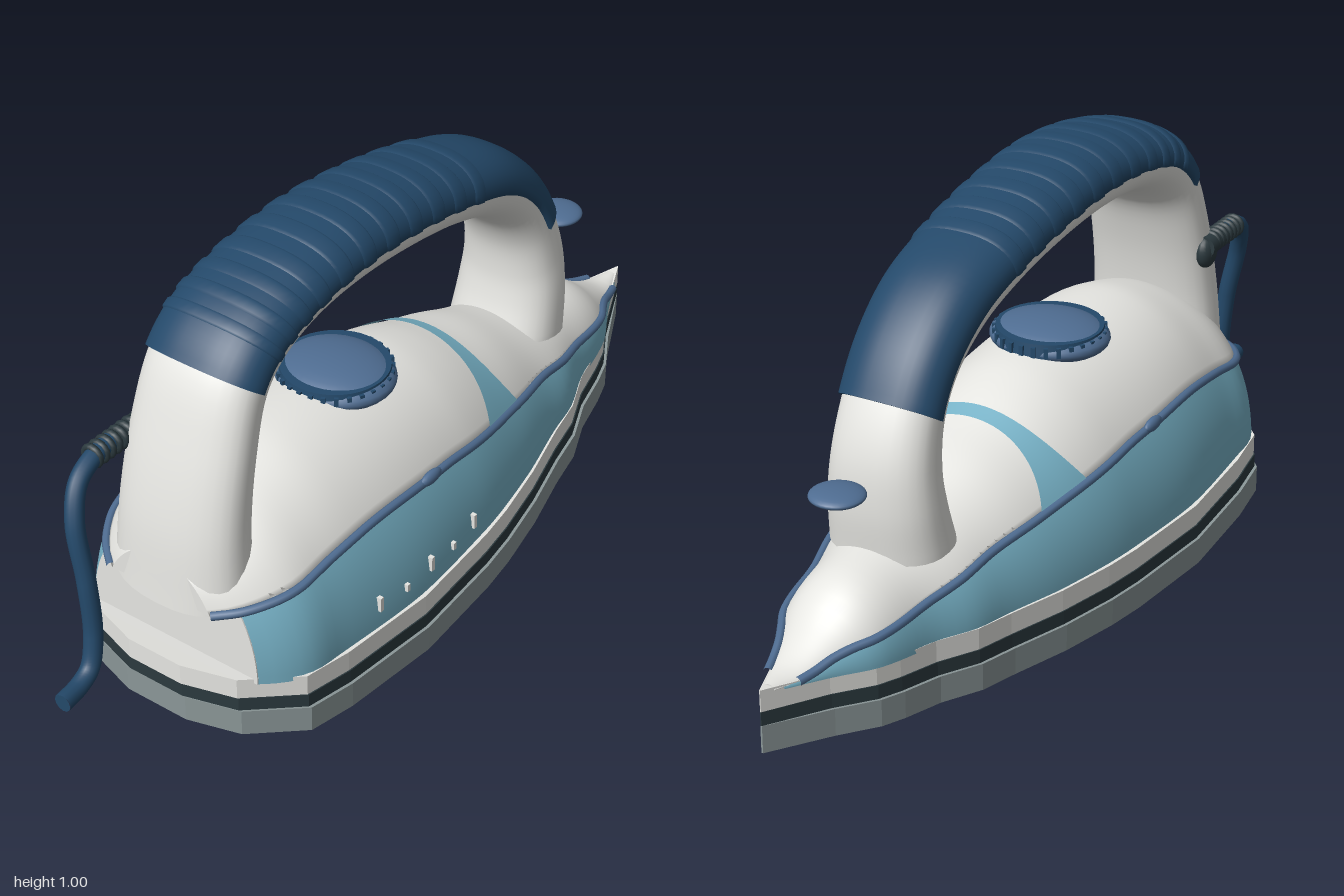
import * as THREE from 'three';

const mat = (name, color, side = THREE.FrontSide) => {
  const m = new THREE.MeshStandardMaterial({ color, side });
  m.name = name;
  return m;
};

// Smooth curve y(x) through a few points
function curve(pts) {
  const slope = (i) => {
    const a = pts[Math.max(i - 1, 0)], b = pts[Math.min(i + 1, pts.length - 1)];
    return (b[1] - a[1]) / (b[0] - a[0]);
  };
  return (x) => {
    let i = 0;
    while (i < pts.length - 2 && x > pts[i + 1][0]) i++;
    const [x0, y0] = pts[i], [x1, y1] = pts[i + 1], h = x1 - x0;
    const t = Math.min(Math.max((x - x0) / h, 0), 1), t2 = t * t, t3 = t2 * t;
    return (2 * t3 - 3 * t2 + 1) * y0 + (t3 - 2 * t2 + t) * h * slope(i)
      + (3 * t2 - 2 * t3) * y1 + (t3 - t2) * h * slope(i + 1);
  };
}

// Skin over a row of cross-sections, optionally closed round and capped
function loft(rings, { closed = false, caps = false, flat = false } = {}) {
  const n = rings[0].length, pos = rings.flat(2), idx = [];
  for (let i = 0; i < rings.length - 1; i++) {
    for (let j = 0; j < (closed ? n : n - 1); j++) {
      const k = (j + 1) % n, a = i * n + j, b = a + n, c = i * n + k, d = c + n;
      idx.push(a, b, c, b, d, c);
    }
  }
  if (caps) {
    const s = pos.length / 3, e = s + n;
    pos.push(...rings[0].flat(), ...rings[rings.length - 1].flat());
    for (let j = 1; j < n - 1; j++) idx.push(s, s + j, s + j + 1, e, e + j + 1, e + j);
  }
  let g = new THREE.BufferGeometry();
  g.setAttribute('position', new THREE.Float32BufferAttribute(pos, 3));
  g.setIndex(idx);
  if (flat) g = g.toNonIndexed();
  g.computeVertexNormals();
  return g;
}

const steps = (a, b, n) => Array.from({ length: n + 1 }, (_, i) => a + (b - a) * i / n);

// Half width of the plate, its rise towards both ends, body ridge and trim height
const OUTLINE = [[-0.77, 0.08], [-0.73, 0.2], [-0.62, 0.3], [-0.5, 0.317], [-0.25, 0.335], [0, 0.317], [0.1, 0.303],
  [0.25, 0.272], [0.4, 0.232], [0.5, 0.212], [0.6, 0.17], [0.7, 0.147], [0.76, 0.128], [0.85, 0.075], [1, 0.002]];
const width = curve(OUTLINE);
const rise = curve([[-0.77, 0.03], [-0.6, 0.01], [-0.4, 0], [0, 0], [0.3, 0.005], [0.5, 0.017], [0.75, 0.04], [1, 0.068]]);
const ridge = curve([[-0.74, 0.43], [-0.6, 0.51], [-0.5, 0.545], [-0.4, 0.565], [-0.2, 0.562], [0, 0.545], [0.1, 0.52],
  [0.2, 0.482], [0.3, 0.45], [0.4, 0.41], [0.5, 0.378], [0.6, 0.36], [0.7, 0.342], [0.75, 0.318], [0.8, 0.28], [0.9, 0.228], [0.97, 0.222]]);
const trimY = curve([[-0.74, 0.33], [-0.6, 0.355], [-0.35, 0.388], [-0.1, 0.377], [0, 0.365], [0.2, 0.335], [0.4, 0.303],
  [0.6, 0.265], [0.8, 0.24], [0.9, 0.214], [0.97, 0.212]]);

// Point on the domed body at station x and angle a (0 = left base, PI = right base)
const baseY = (x) => 0.145 + rise(x);
const bodyPoint = (x, a, grow = 0) => [x,
  baseY(x) + (ridge(x) - baseY(x) + grow) * Math.sin(a),
  (width(x) * 0.94 + grow) * Math.cos(a)];
const trimAngle = (x) => Math.asin(Math.min(Math.max((trimY(x) - baseY(x)) / (ridge(x) - baseY(x)), 0.05), 0.85));

// Handle: outer edge, inner edge and half depth, from rear foot to front foot
const HANDLE = [
  [-0.755, 0.31, -0.57, 0.37, 0.165], [-0.735, 0.5, -0.565, 0.5, 0.155], [-0.69, 0.68, -0.54, 0.64, 0.148],
  [-0.625, 0.84, -0.5, 0.745, 0.14], [-0.54, 0.92, -0.45, 0.79, 0.137], [-0.4, 0.965, -0.36, 0.825, 0.134],
  [-0.2, 0.99, -0.2, 0.835, 0.13], [0, 0.975, -0.01, 0.82, 0.126], [0.2, 0.935, 0.17, 0.785, 0.122],
  [0.37, 0.88, 0.3, 0.735, 0.117], [0.49, 0.785, 0.39, 0.67, 0.113], [0.565, 0.675, 0.435, 0.59, 0.113],
  [0.61, 0.56, 0.445, 0.5, 0.12], [0.62, 0.45, 0.435, 0.43, 0.13], [0.61, 0.33, 0.41, 0.35, 0.138]];
const outer = new THREE.CatmullRomCurve3(HANDLE.map((h) => new THREE.Vector3(h[0], h[1], h[4])));
const inner = new THREE.CatmullRomCurve3(HANDLE.map((h) => new THREE.Vector3(h[2], h[3], 0)));
function handleRing(t, angles, grow = 0) {
  const o = outer.getPoint(t), i = inner.getPoint(t);
  const dx = (o.x - i.x) / 2, dy = (o.y - i.y) / 2, s = 1 + grow / Math.hypot(dx, dy);
  const soft = (v) => Math.sign(v) * Math.abs(v) ** 0.85;
  return angles.map((a) => [
    (o.x + i.x) / 2 + dx * s * soft(Math.sin(a)),
    (o.y + i.y) / 2 + dy * s * soft(Math.sin(a)),
    (o.z + grow) * soft(Math.cos(a))]);
}

export function createModel() {
  const group = new THREE.Group();
  const white = mat('white plastic', 0xe6e6e2, THREE.DoubleSide);
  const teal = mat('teal plastic', 0x78b3c8, THREE.DoubleSide);
  const navy = mat('navy grip', 0x24496a);
  const steel = mat('steel blue', 0x4f6d92);
  const charcoal = mat('charcoal', 0x2c3a3f);
  const grey = mat('sole grey', 0x8b9798);
  const add = (name, geometry, material, x = 0, y = 0, z = 0) => {
    const m = new THREE.Mesh(geometry, material);
    m.name = name;
    m.position.set(x, y, z);
    group.add(m);
    return m;
  };

  // Stacked plates following the pointed outline
  const plate = (name, y0, y1, inset, material) => add(name, loft(OUTLINE.map(([x, w]) => {
    const c = rise(x), z = Math.max(w - inset, 0.001);
    return [[x, y0 + c, z], [x, y1 + c, z], [x, y1 + c, -z], [x, y0 + c, -z]];
  }), { closed: true, caps: true, flat: true }), material);
  plate('soleplate', 0.01, 0.073, 0, grey);
  plate('heatBand', 0.073, 0.105, 0.007, charcoal);
  plate('baseSkirt', 0.105, 0.155, 0.01, white);

  // Steam holes beneath the soleplate
  const hole = new THREE.SphereGeometry(1, 12, 8).scale(0.028, 0.009, 0.012);
  for (const x of steps(-0.56, 0.68, 12)) {
    for (const s of [1, -1]) add('steamHole', hole, charcoal, x, 0.01 + rise(x), s * (width(x) - 0.06));
  }

  // Water tank sides and white upper shell
  const lowerX = steps(-0.7, 0.95, 66);
  add('tankLeft', loft(lowerX.map((x) => steps(0, trimAngle(x), 10).map((a) => bodyPoint(x, a)))), teal);
  add('tankRight', loft(lowerX.map((x) => steps(Math.PI - trimAngle(x), Math.PI, 10).map((a) => bodyPoint(x, a)))), teal);
  add('upperShell', loft(steps(-0.74, 0.97, 70).map((x) =>
    steps(trimAngle(x), Math.PI - trimAngle(x), 28).map((a) => bodyPoint(x, a))),
  { closed: true, caps: true }), white);

  // White panel closing the rear of the tank
  const tA = trimAngle(-0.7);
  const rear = [...steps(0, tA, 8), ...steps(Math.PI - tA, Math.PI, 8)].map((a) => bodyPoint(-0.7, a));
  add('rearPanel', loft([rear.map(([, y, z]) => [-0.703, y, z]), rear], { closed: true, caps: true, flat: true }), white);

  // Teal stripe over the shell, flaring at both ends
  const stripe = steps(-1, 1, 8).map((u) => steps(0, 1, 36).map((v) => {
    const x0 = 0.18, flare = Math.abs(2 * v - 1) ** 3;
    const x = x0 + u * (0.018 + 0.06 * flare), t = trimAngle(x);
    return bodyPoint(x, t + (Math.PI - 2 * t) * v, 0.004);
  }));
  add('shellStripe', loft(stripe), teal);

  // Trim cords between tank and shell
  for (const s of [1, -1]) {
    const path = steps(-0.74, 0.92, 40).map((x) => {
      const [, y, z] = bodyPoint(x, trimAngle(x), 0.003);
      return new THREE.Vector3(x, y, s * z);
    });
    add('trim', new THREE.TubeGeometry(new THREE.CatmullRomCurve3(path), 120, 0.01, 8), steel);
    add('tankButton', new THREE.SphereGeometry(1, 16, 10).scale(0.035, 0.016, 0.012), steel, -0.15, 0.388, s * 0.262);
  }

  // Water level marks on the left side
  steps(-0.39, -0.04, 4).forEach((x, i) => {
    const h = i % 2 ? 0.018 : 0.036;
    add('levelMark', new THREE.BoxGeometry(0.01, h, 0.02), white, x, 0.199 + h / 2, width(x) * 0.94 - 0.006);
  });

  // Handle with navy grip and raised ribs
  const full = steps(0, Math.PI * 2, 32).slice(0, -1), half = steps(0, Math.PI, 20);
  add('handle', loft(steps(0, 1, 84).map((t) => handleRing(t, full)), { closed: true, caps: true }), white);
  add('grip', loft(steps(3 / 14, 11 / 14, 56).map((t) => handleRing(t, half, 0.008)), { closed: true, caps: true }), navy);
  for (const t of steps(3.9 / 14, 8.1 / 14, 10)) {
    add('gripRib', loft([[-0.009, 0.007], [-0.006, 0.012], [0.006, 0.012], [0.009, 0.007]]
      .map(([d, g]) => handleRing(t + d, half, g)), { closed: true, caps: true }), navy);
  }

  // Temperature dial on a rounded seat
  add('dialSeat', new THREE.SphereGeometry(1, 32, 16).scale(0.125, 0.045, 0.14), steel, -0.145, 0.55, 0);
  add('dial', new THREE.CylinderGeometry(0.122, 0.127, 0.032, 40), navy, -0.145, 0.56, 0);
  for (const a of steps(0, Math.PI * 2, 28).slice(1)) {
    add('dialNotch', new THREE.BoxGeometry(0.01, 0.024, 0.01), navy,
      -0.145 + 0.125 * Math.cos(a), 0.558, 0.125 * Math.sin(a)).rotation.y = -a;
  }

  // Spray button ahead of the handle
  add('sprayButton', new THREE.SphereGeometry(1, 32, 16).scale(0.06, 0.016, 0.06), steel, 0.71, 0.527, 0);

  // Power cord with ribbed strain relief
  const v = (x, y, z) => new THREE.Vector3(x, y, z);
  const cord = new THREE.CatmullRomCurve3([v(-0.7, 0.63, -0.148), v(-0.76, 0.628, -0.143), v(-0.82, 0.6, -0.135),
    v(-0.858, 0.53, -0.115), v(-0.868, 0.4, -0.085), v(-0.875, 0.27, -0.07), v(-0.9, 0.2, -0.062),
    v(-0.94, 0.18, -0.058), v(-1, 0.18, -0.05)]);
  add('cord', new THREE.TubeGeometry(cord, 80, 0.021, 12), navy);
  add('cordEnd', new THREE.CircleGeometry(0.021, 12), navy, -0.999, 0.18, -0.05).rotation.y = -Math.PI / 2;
  add('strainRelief', new THREE.CylinderGeometry(0.021, 0.026, 0.15, 16), charcoal, -0.68, 0.625, -0.15).rotation.z = Math.PI / 2;
  for (const x of steps(-0.76, -0.64, 6)) {
    add('reliefRing', new THREE.TorusGeometry(0.021, 0.008, 8, 16), charcoal, x, 0.627, -0.147).rotation.y = Math.PI / 2;
  }
  add('reliefKnob', new THREE.SphereGeometry(1, 20, 14).scale(0.035, 0.04, 0.023), charcoal, -0.62, 0.61, -0.148);

  return group;
}
